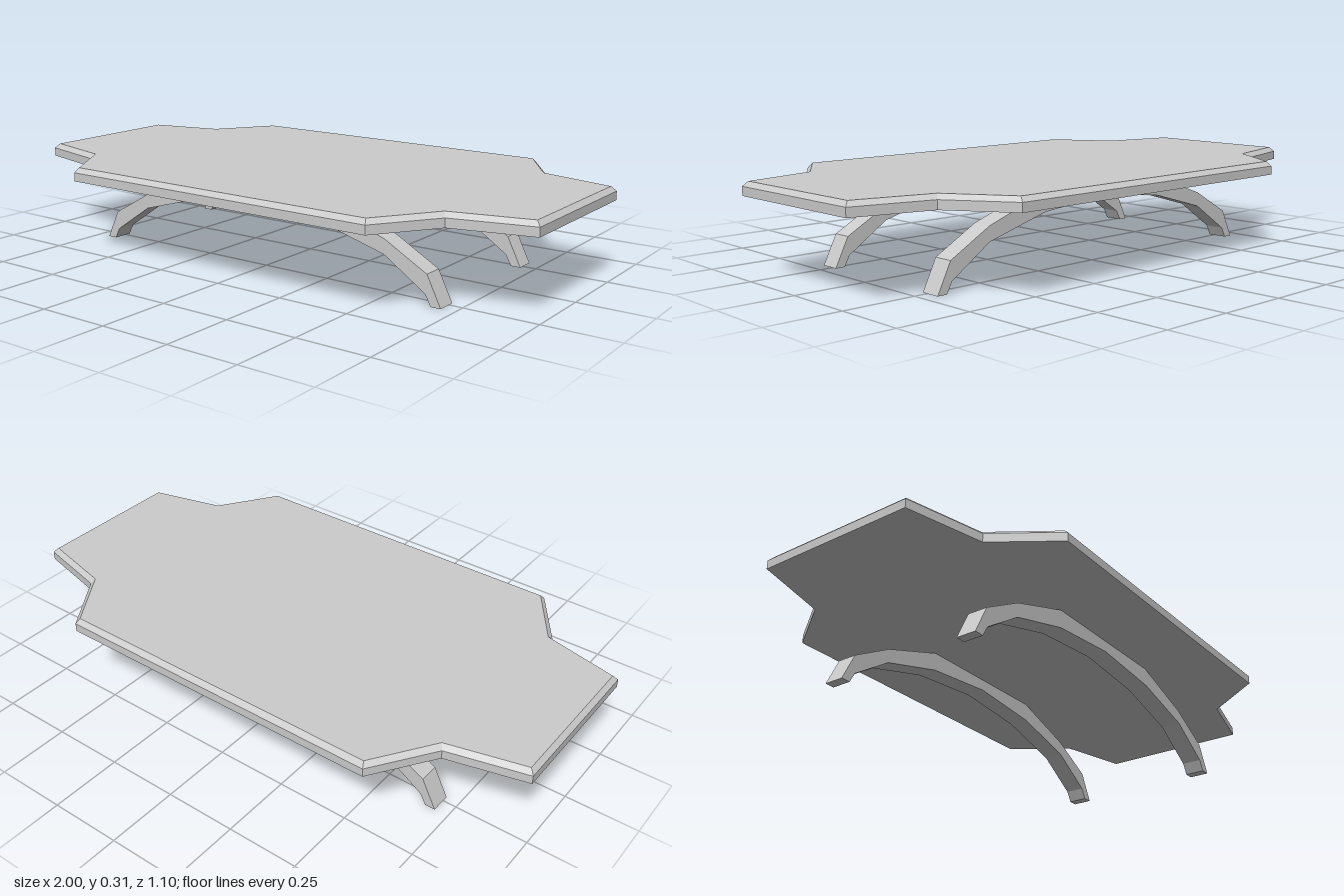
import * as THREE from 'three';

const material = new THREE.MeshStandardMaterial({ color: 0xcccccc, flatShading: true });

// Mirrors one quarter of an outline into the full counter-clockwise loop
function mirrorQuarter(q) {
  const right = [...q.map(([x, y]) => [x, -y]).reverse(), ...q];
  return [...right, ...right.map(([x, y]) => [-x, -y])];
}

const toShape = (pts) => new THREE.Shape(pts.map(([x, y]) => new THREE.Vector2(x, y)));

// Notched top: straight rim, then a narrow chamfer up to the inset upper face
function createTabletop() {
  const rim = mirrorQuarter([[1, 0.28], [0.735, 0.345], [0.595, 0.55]]);
  const inset = mirrorQuarter([[0.985, 0.267], [0.724, 0.331], [0.587, 0.534]]);
  const heights = [0.265, 0.295, 0.311];

  const geometry = new THREE.ExtrudeGeometry(toShape(rim), { depth: 2, steps: 2, bevelEnabled: false });
  const pos = geometry.attributes.position;
  for (let i = 0; i < pos.count; i++) {
    const level = Math.round(pos.getZ(i));
    const x = pos.getX(i), y = pos.getY(i);
    if (level === 2) {
      const corner = rim.findIndex(([a, b]) => Math.hypot(a - x, b - y) < 0.001);
      pos.setXY(i, ...inset[corner]);
    }
    pos.setZ(i, heights[level]);
  }
  geometry.rotateX(-Math.PI / 2);
  geometry.computeVertexNormals();
  const mesh = new THREE.Mesh(geometry, material);
  mesh.name = 'tabletop';
  return mesh;
}

// Faceted arch that serves as a pair of legs
function createArch() {
  const outer = [[0.703, 0], [0.653, 0.1], [0.5, 0.185], [0.268, 0.265]];
  const inner = [[0, 0.225], [0.268, 0.2], [0.5, 0.135], [0.648, 0.037], [0.668, 0]];
  const mirror = (pts) => pts.map(([x, y]) => [-x, y]).reverse();
  const profile = [...outer, ...mirror(outer), ...mirror(inner), ...inner.slice(1)];
  return new THREE.ExtrudeGeometry(toShape(profile), { depth: 0.07, bevelEnabled: false })
    .translate(0, 0, -0.035);
}

export function createModel() {
  const table = new THREE.Group();
  table.name = 'table';
  table.add(createTabletop());

  const arch = createArch();
  for (const [name, z] of [['frontLegArch', 0.265], ['backLegArch', -0.265]]) {
    const leg = new THREE.Mesh(arch, material);
    leg.name = name;
    leg.position.z = z;
    table.add(leg);
  }
  return table;
}
